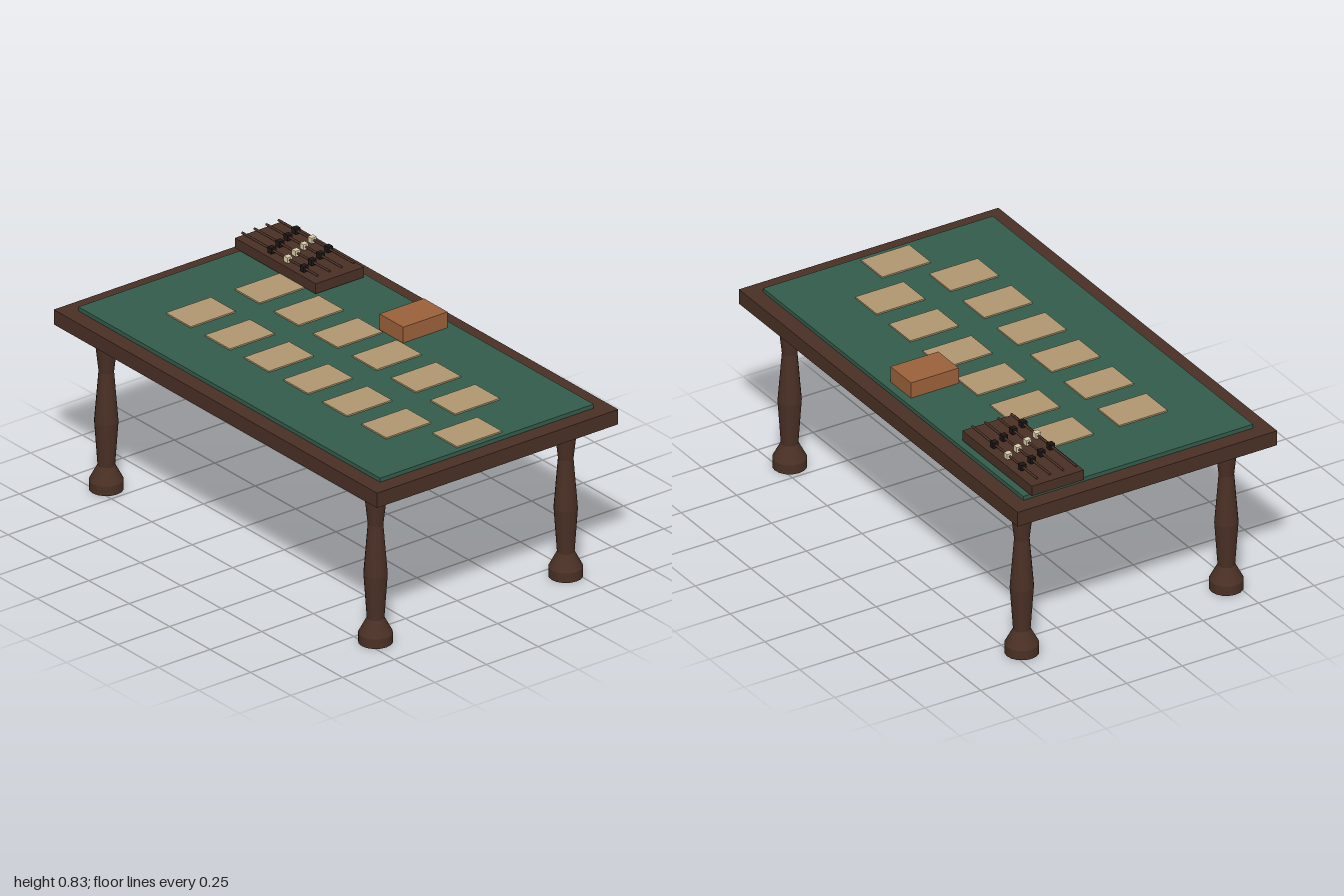
import * as THREE from 'three';

const paint = (color) => new THREE.MeshStandardMaterial({ color });

export function createModel() {
  const model = new THREE.Group();
  const wood = paint(0x4a3025);
  const felt = paint(0x335c4c);
  const paper = paint(0xb0976f);
  const leather = paint(0x9c613b);
  const ebony = paint(0x1c1614);
  const ivory = paint(0xdccfae);

  // Box given by its centre in plan, its footprint and its bottom and top heights
  function block(name, material, x, z, width, depth, bottom, top, parent = model) {
    const mesh = new THREE.Mesh(new THREE.BoxGeometry(width, top - bottom, depth), material);
    mesh.position.set(x, (bottom + top) / 2, z);
    mesh.name = name;
    parent.add(mesh);
  }

  block('tableTop', wood, 0, 0, 2, 1.167, 0.67, 0.733);
  block('feltSurface', felt, 0, 0, 1.867, 1.033, 0.733, 0.75);

  // Turned legs with flared feet: separate foot, neck and shaft sections keep the rings crisp
  const profile = [[0.067, 0], [0.067, 0.04], [0.034, 0.103], [0.047, 0.29], [0.03, 0.5], [0.049, 0.67]];
  for (const x of [-0.833, 0.833]) {
    for (const z of [-0.46, 0.46]) {
      const leg = new THREE.Group();
      leg.name = 'leg';
      for (let i = 0; i < profile.length - 1; i++) {
        const [r0, y0] = profile[i];
        const [r1, y1] = profile[i + 1];
        const section = new THREE.Mesh(new THREE.CylinderGeometry(r1, r0, y1 - y0, 16, 1, i > 0), wood);
        section.position.y = (y0 + y1) / 2;
        section.name = 'legSection';
        leg.add(section);
      }
      leg.position.set(x, 0, z);
      model.add(leg);
    }
  }

  // Two rows of cards and one set aside
  for (const z of [-0.15, 0.183]) {
    for (let i = 0; i < 6; i++) block('card', paper, -0.603 + i * 0.242, z, 0.153, 0.217, 0.75, 0.756);
  }
  block('sideCard', paper, 0.833, 0.017, 0.153, 0.217, 0.75, 0.756);

  block('cardBox', leather, 0, -0.375, 0.147, 0.215, 0.75, 0.817);

  // Counting board: four rods, each carrying two dark beads and one pale bead
  const counter = new THREE.Group();
  counter.name = 'countingBoard';
  model.add(counter);
  block('boardBase', wood, -0.706, -0.375, 0.5, 0.233, 0.755, 0.798, counter);
  for (let row = 0; row < 4; row++) {
    const z = -0.46 + row * 0.0587;
    const rod = new THREE.Mesh(new THREE.CylinderGeometry(0.005, 0.005, 0.467, 8), wood);
    rod.rotation.z = Math.PI / 2;
    rod.position.set(-0.71, 0.817, z);
    rod.name = 'rod';
    counter.add(rod);
    [ebony, ivory, ebony].forEach((material, i) => {
      block('bead', material, -0.835 + row * 0.025 + i * 0.1, z, 0.024, 0.024, 0.805, 0.829, counter);
    });
  }
  return model;
}
